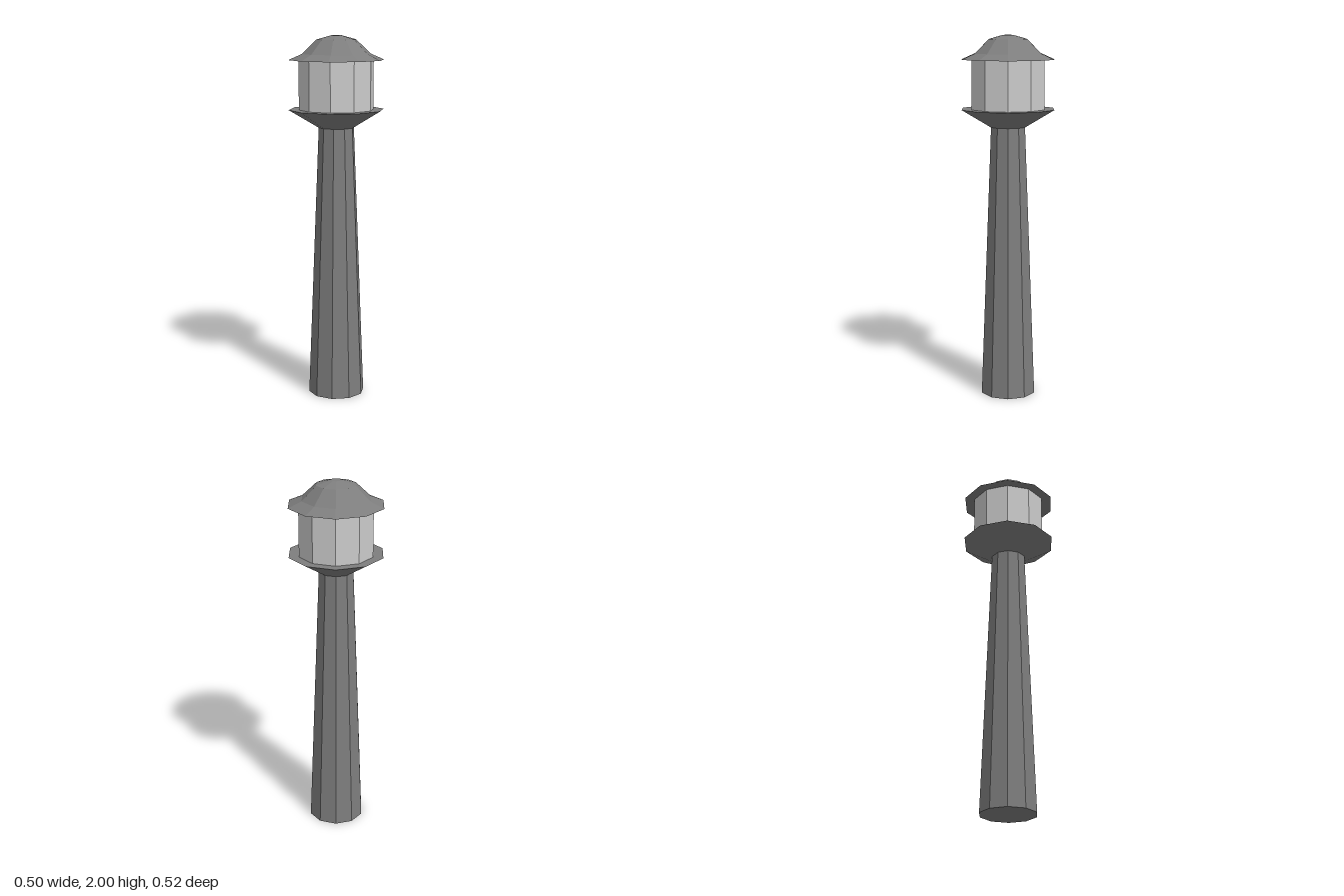
import * as THREE from 'three';

const SIDES = 10;

export function createModel() {
  const group = new THREE.Group();
  const dark = new THREE.MeshStandardMaterial({ color: 0x7e7e7e, flatShading: true });
  const light = new THREE.MeshStandardMaterial({ color: 0xcccccc, flatShading: true });

  // Ten-sided solid turned from [radius, height] pairs, bottom to top
  const turned = (name, profile, material) => {
    const points = profile.map(([r, y]) => new THREE.Vector2(r, y));
    const mesh = new THREE.Mesh(new THREE.LatheGeometry(points, SIDES), material);
    mesh.name = name;
    group.add(mesh);
  };

  // Tapered tower shaft
  turned('towerShaft', [[0, 0], [0.156, 0], [0.097, 1.505], [0, 1.505]], dark);

  // Flared gallery with a flat deck
  turned('gallery', [[0, 1.505], [0.097, 1.505], [0.261, 1.603], [0, 1.603]], dark);

  // Lantern room
  turned('lanternRoom', [[0, 1.603], [0.205, 1.603], [0.205, 1.87], [0, 1.87]], light);

  // Domed roof with projecting eaves
  turned('domedRoof', [
    [0, 1.87], [0.261, 1.87], [0.187, 1.902], [0.108, 1.978], [0.028, 2], [0, 2],
  ], dark);

  return group;
}
